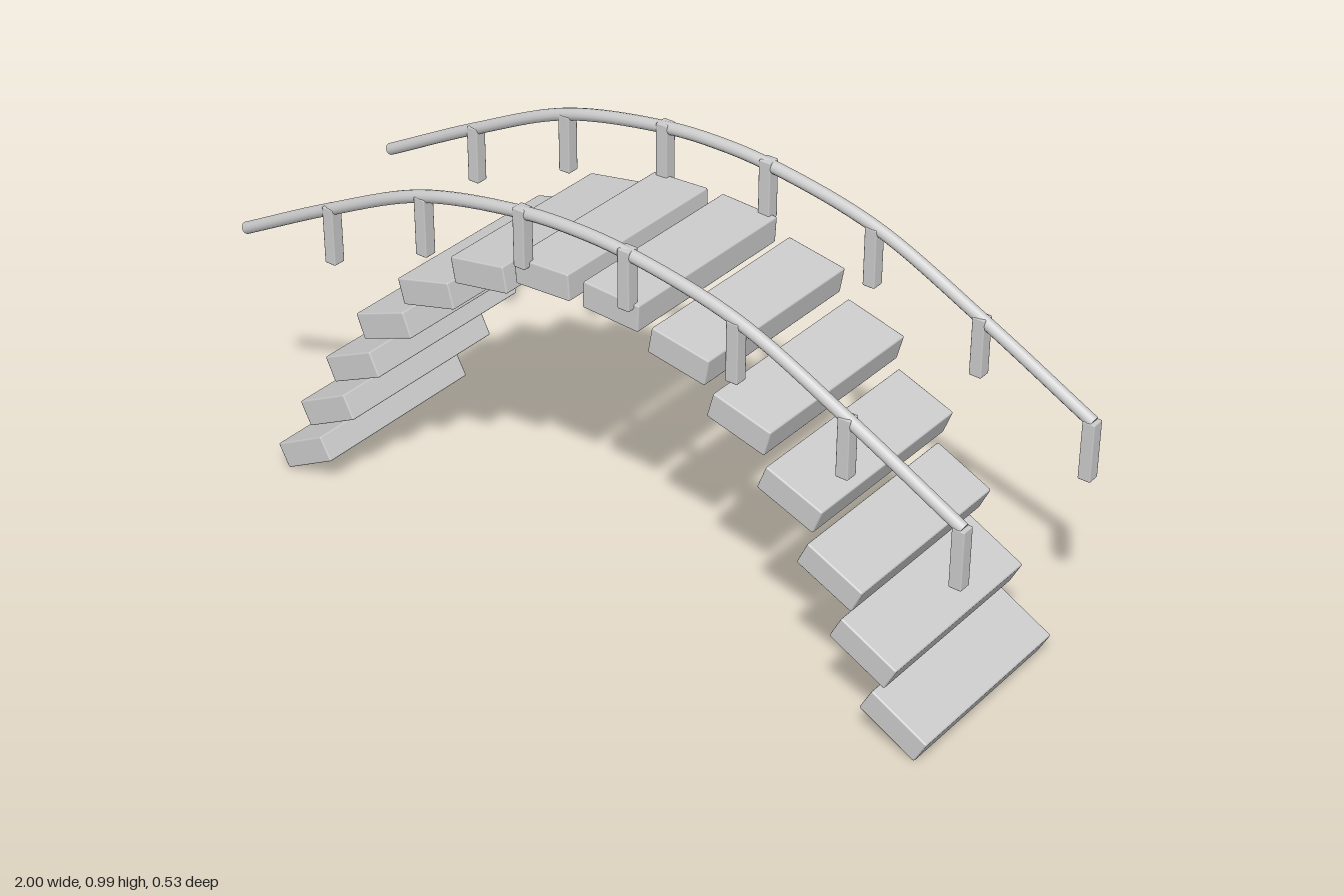
import * as THREE from 'three';
import { RoundedBoxGeometry } from 'three/addons/geometries/RoundedBoxGeometry.js';

const material = new THREE.MeshStandardMaterial({ color: 0xcccccc });

function add(parent, name, geometry, x = 0, y = 0, z = 0) {
  const mesh = new THREE.Mesh(geometry, material);
  mesh.name = name;
  mesh.position.set(x, y, z);
  parent.add(mesh);
  return mesh;
}

export function createModel() {
  const bridge = new THREE.Group();
  bridge.name = 'archedBridge';

  // Planks, from the crown down: distance from middle, height, tilt in degrees, width
  const planks = [
    [0.094, 0.820, 3, 0.150],
    [0.274, 0.765, 10, 0.153],
    [0.433, 0.660, 15, 0.155],
    [0.567, 0.527, 21, 0.156],
    [0.674, 0.376, 25, 0.157],
    [0.765, 0.221, 27, 0.161],
    [0.849, 0.069, 28, 0.162],
  ];
  const middle = -0.008;
  for (const side of [-1, 1]) {
    for (const [offset, y, tilt, width] of planks) {
      const plank = add(bridge, 'plank', new RoundedBoxGeometry(width, 0.065, 0.492, 1, 0.004),
        middle + side * offset, y, 0);
      plank.rotation.z = -side * THREE.MathUtils.degToRad(tilt);
    }
  }

  // Handrail path
  const path = new THREE.CatmullRomCurve3([
    [-0.992, 0.639], [-0.714, 0.784], [-0.433, 0.911], [-0.15, 0.968],
    [-0.008, 0.976], [0.134, 0.968], [0.417, 0.911], [0.698, 0.784], [0.984, 0.637],
  ].map(([x, y]) => new THREE.Vector3(x, y, 0)));
  const radius = 0.0148;

  // Posts: x position and bottom height
  const posts = [[-0.714, 0.647], [-0.433, 0.767], [-0.15, 0.837], [0.134, 0.837],
    [0.417, 0.767], [0.698, 0.647], [0.981, 0.497]];
  const postHeight = 0.144;

  for (const side of [-1, 1]) {
    const railing = new THREE.Group();
    railing.name = side > 0 ? 'frontRailing' : 'backRailing';
    railing.position.z = side * 0.2475;
    bridge.add(railing);

    add(railing, 'handrail', new THREE.TubeGeometry(path, 64, radius, 12));

    // Discs closing the rail ends
    for (const t of [0, 1]) {
      const end = path.getPointAt(t);
      const outward = path.getTangentAt(t).multiplyScalar(t ? 1 : -1);
      const cap = add(railing, 'railEnd', new THREE.CircleGeometry(radius, 12), end.x, end.y, 0);
      cap.quaternion.setFromUnitVectors(new THREE.Vector3(0, 0, 1), outward);
    }

    for (const [x, bottom] of posts) {
      add(railing, 'post', new RoundedBoxGeometry(0.031, postHeight, 0.032, 1, 0.003),
        x, bottom + postHeight / 2, 0);
    }
  }
  return bridge;
}
